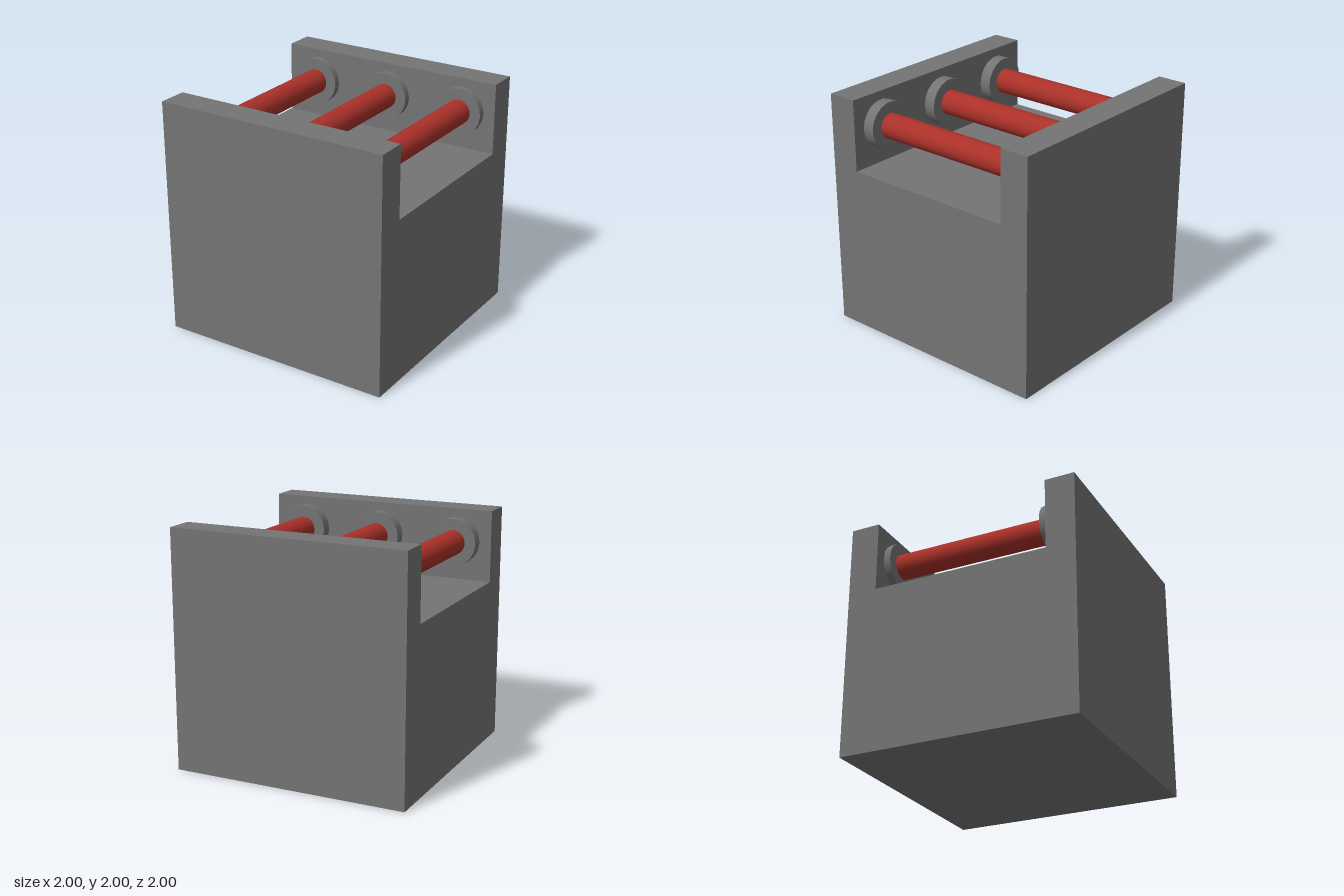
import * as THREE from 'three';

const grey = new THREE.MeshStandardMaterial({ color: 0x747474 });
const red = new THREE.MeshStandardMaterial({ color: 0xaa3129 });

// Cylinder lying along z between two depths, with corners at its left and right
function rodAlongZ(name, radius, z0, z1, sides, material) {
  const geometry = new THREE.CylinderGeometry(radius, radius, z1 - z0, sides);
  geometry.rotateY(Math.PI / 2).rotateX(Math.PI / 2);
  const mesh = new THREE.Mesh(geometry, material);
  mesh.name = name;
  mesh.position.z = (z0 + z1) / 2;
  return mesh;
}

export function createModel() {
  const model = new THREE.Group();
  model.name = 'blockWithRods';

  // Block with a channel across its top: side profile swept along x
  const profile = new THREE.Shape([
    [-1, 0], [1, 0], [1, 2], [0.75, 2], [0.75, 1.4], [-0.75, 1.4], [-0.75, 2], [-1, 2],
  ].map(([z, y]) => new THREE.Vector2(z, y)));
  const blockGeometry = new THREE.ExtrudeGeometry(profile, { depth: 2, bevelEnabled: false });
  blockGeometry.translate(0, 0, -1).rotateY(-Math.PI / 2);
  const block = new THREE.Mesh(blockGeometry, grey);
  block.name = 'block';
  model.add(block);

  // Three rods, each held by a flange on either wall
  for (const x of [-0.7, 0, 0.7]) {
    const assembly = new THREE.Group();
    assembly.name = 'rodAssembly';
    assembly.position.set(x, 1.73, 0);
    assembly.add(
      rodAlongZ('rod', 0.105, -0.69, 0.65, 32, red),
      rodAlongZ('frontFlange', 0.2, 0.65, 0.75, 18, grey),
      rodAlongZ('backFlange', 0.2, -0.75, -0.69, 18, grey),
    );
    model.add(assembly);
  }
  return model;
}
